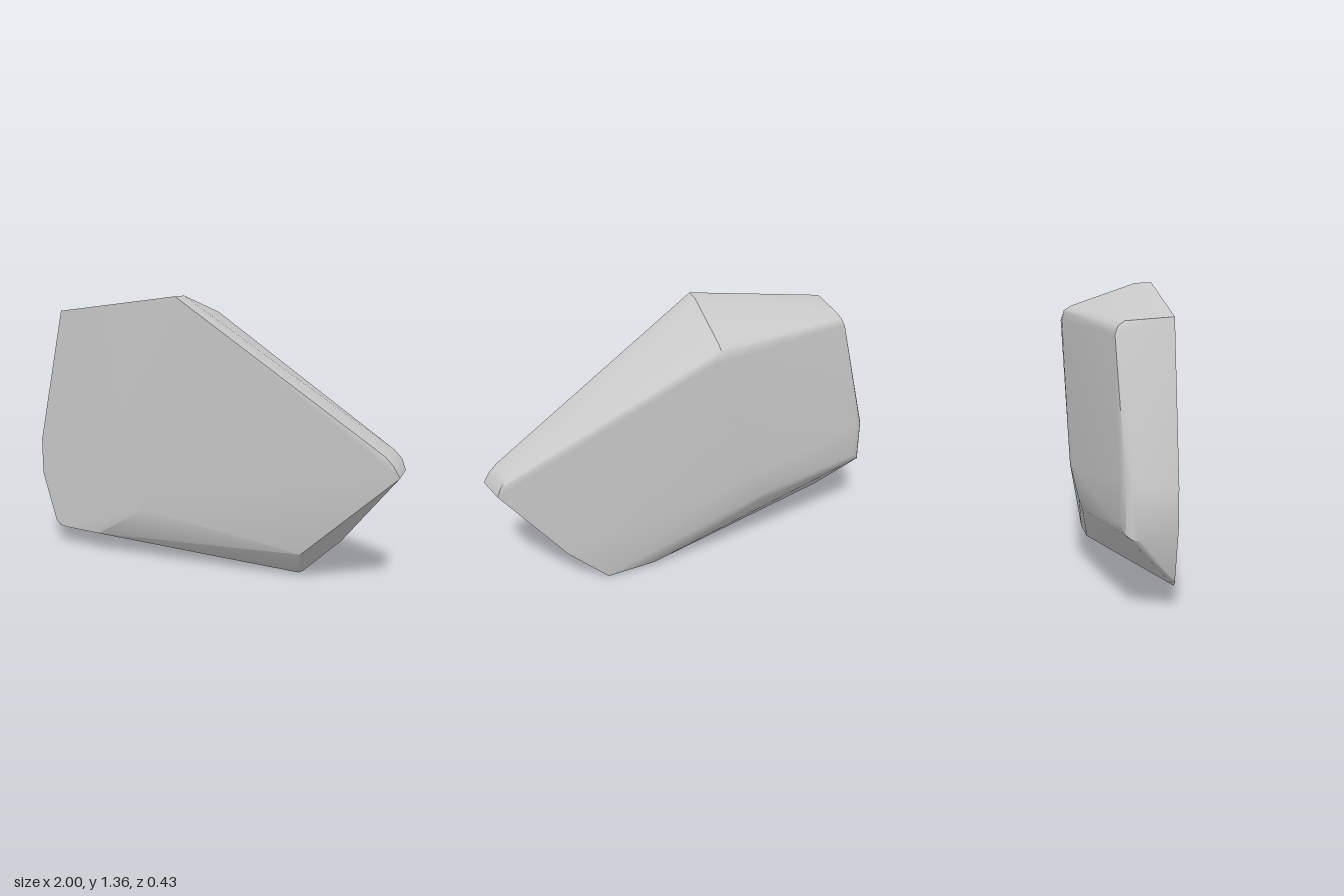
import * as THREE from 'three';
import { ConvexGeometry } from 'three/addons/geometries/ConvexGeometry.js';

// Corners of the flat front side
const FRONT = [
  [-0.8, 1.25, 0.218], [-0.1, 1.36, 0.218], [-0.96, 0.56, 0.218], [-0.96, 0.38, 0.218],
  [-0.88, 0.13, 0.218], [-0.855, 0.105, 0.218], [-0.82, 0.1, 0.218],
  [-0.6, 0.1, 0.213], [-0.3, 0.28, 0.213],
];

// Narrow tip on the +x side and the foot below it
const TIP = [
  [0.93, 0.69, 0.075], [0.97, 0.65, 0.073], [1, 0.6, 0.07], [0.51, 0.15, 0.07],
  [0.91, 0.69, -0.075], [0.945, 0.65, -0.085], [0.965, 0.6, -0.082],
  [0.65, 0.2, -0.085], [0.45, 0.01, -0.08], [0.43, 0, -0.07], [0.2, 0.025, -0.07],
];

// Worn back side: each ridge is a close pair or row of points that forms a bevel
const BACK = [
  [-0.1, 1.357, 0.14], [-0.1, 1.25, -0.17], [-0.1, 1.23, -0.2],
  [-0.13, 1.18, -0.212], [-0.07, 1.18, -0.214],
  [-0.8, 1.235, 0.01], [-0.81, 1.215, -0.02], [-0.825, 1.18, -0.034],
  [-0.945, 0.6, -0.027], [-0.98, 0.585, -0.005], [-0.996, 0.575, 0.02], [-1, 0.57, 0.05],
  [-0.945, 0.41, -0.029], [-0.98, 0.37, -0.005], [-0.996, 0.355, 0.02], [-1, 0.35, 0.05],
  [-0.34, 0.52, -0.18], [-0.28, 0.52, -0.187],
  [-0.37, 0.37, -0.152], [-0.36, 0.32, -0.135],
];

// Smooths normals by face area, but only across edges softer than the given angle
function smoothByArea(geometry, angle) {
  const pos = geometry.attributes.position;
  const corners = Array.from({ length: pos.count }, (_, i) => new THREE.Vector3().fromBufferAttribute(pos, i));
  const faces = [];
  for (let i = 0; i < pos.count; i += 3) {
    const [a, b, c] = corners.slice(i, i + 3);
    faces.push(b.clone().sub(a).cross(c.clone().sub(a)));
  }
  corners.forEach((corner, i) => {
    const own = faces[Math.floor(i / 3)];
    const normal = new THREE.Vector3();
    corners.forEach((other, j) => {
      const face = faces[Math.floor(j / 3)];
      if (other.distanceTo(corner) < 1e-5 && face.angleTo(own) < angle) normal.add(face);
    });
    geometry.attributes.normal.setXYZ(i, ...normal.normalize());
  });
  return geometry;
}

export function createModel() {
  const stone = new THREE.MeshStandardMaterial({ color: 0xcacaca });
  stone.name = 'stone grey';

  // One convex stone, with soft bevels and sharp main edges
  const points = [...FRONT, ...TIP, ...BACK].map((p) => new THREE.Vector3(...p));
  const rock = new THREE.Mesh(smoothByArea(new ConvexGeometry(points), 0.6), stone);
  rock.name = 'rock';

  const model = new THREE.Group();
  model.name = 'rockSlab';
  model.add(rock);
  return model;
}
